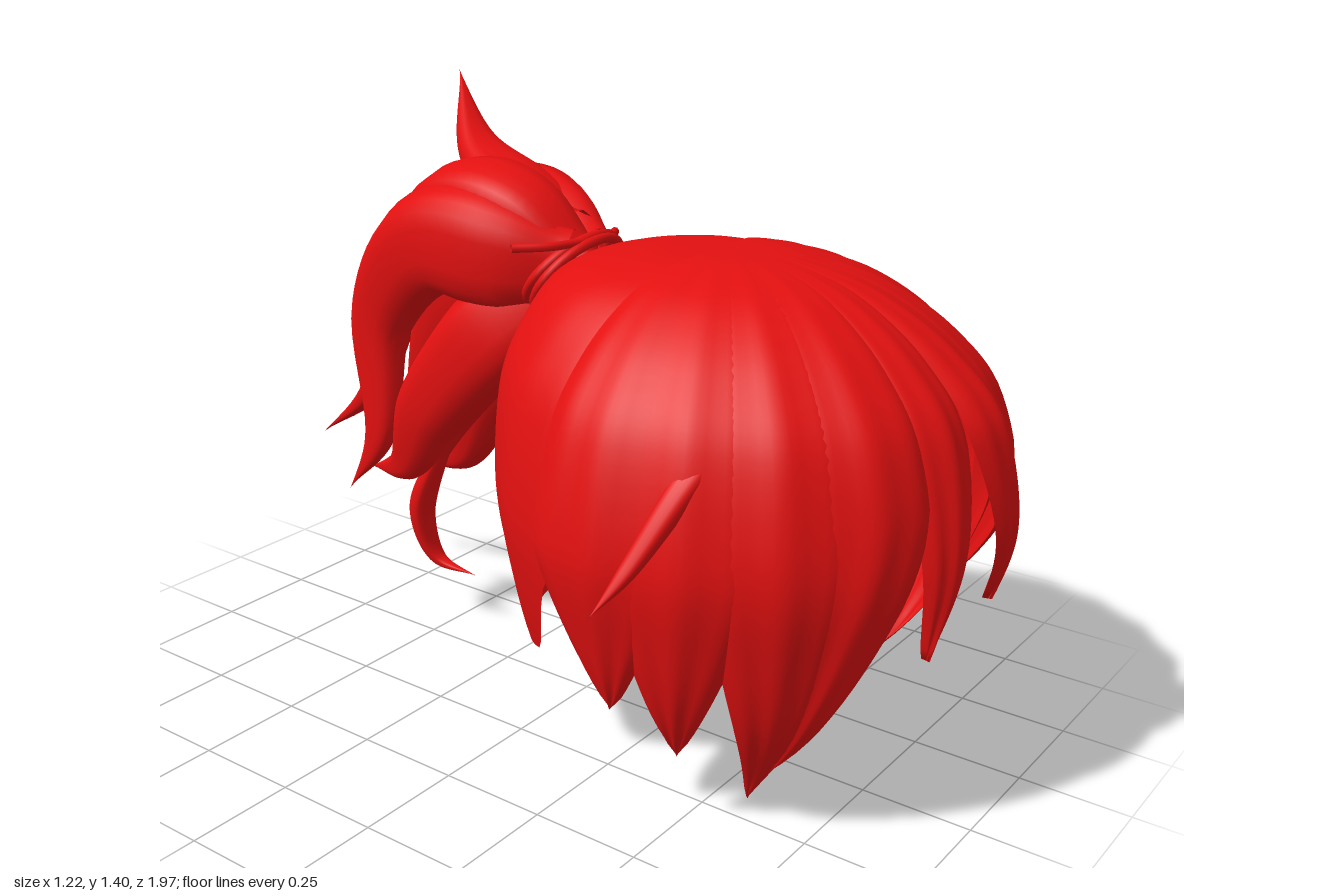
import * as THREE from 'three';
import { mergeVertices } from 'three/addons/utils/BufferGeometryUtils.js';

const red = new THREE.MeshStandardMaterial({ color: 0xe31010, side: THREE.DoubleSide });
red.name = 'hairRed';
const V = (x, y, z) => new THREE.Vector3(x, y, z);
const rad = THREE.MathUtils.degToRad;

// Smooth sheet from a rule f(u, v) -> Vector3, with u to the right and v downward
function sheet(name, nu, nv, f) {
  const pos = [], idx = [];
  for (let j = 0; j <= nv; j++)
    for (let i = 0; i <= nu; i++) pos.push(...f(i / nu, j / nv).toArray());
  for (let j = 0; j < nv; j++)
    for (let i = 0; i < nu; i++) {
      const a = j * (nu + 1) + i, b = a + nu + 1;
      idx.push(a, b, a + 1, a + 1, b, b + 1);
    }
  let g = new THREE.BufferGeometry();
  g.setAttribute('position', new THREE.Float32BufferAttribute(pos, 3));
  g.setIndex(idx);
  g = mergeVertices(g, 1e-5);
  g.computeVertexNormals();
  const m = new THREE.Mesh(g, red);
  m.name = name;
  return m;
}

// Head profile: x = fringe radius, y = height, z = back-of-head radius
const profile = new THREE.CatmullRomCurve3([
  V(0, 1.125, 0), V(0.28, 1.115, 0.45), V(0.54, 1.065, 0.76), V(0.76, 0.97, 0.9), V(0.91, 0.85, 0.98),
  V(1, 0.62, 0.99), V(0.97, 0.45, 0.93), V(0.87, 0.25, 0.82), V(0.56, 0, 0.6),
]);

// Profile parameter at a given height
function paramAt(y) {
  let a = 0, b = 1;
  for (let i = 0; i < 30; i++) {
    const m = (a + b) / 2;
    if (profile.getPoint(m).y > y) a = m; else b = m;
  }
  return b;
}

// Fringe lock: a wedge from the crown that tapers below its arch to a point
function fringeLock(centre, tipAngle, tipY, lift = 1) {
  const end = paramAt(tipY);
  const half = Math.min(15.5, 9 + Math.abs(centre) / 5);
  const arch = Math.max(0.6, 0.88 - 0.0045 * Math.abs(centre));
  return sheet('fringeLock', 16, 48, (u, v) => {
    const p = profile.getPoint(v * end);
    const k = THREE.MathUtils.clamp((arch - p.y) / (arch - tipY), 0, 1);
    const side = u * 2 - 1;
    const width = half * Math.pow(1 - k, 0.75);
    const phi = rad(centre + (tipAngle - centre) * Math.pow(k, 1.2) + side * width);
    const bulge = 0.06 * (1 - side * side) * (1 - 0.6 * k) + 0.006 * Math.cos(side * 9);
    const r = p.x * (0.97 + bulge) * THREE.MathUtils.lerp(1, lift, v * (1 - k));
    return V(0.05 + 0.552 * r * Math.sin(phi), p.y + 0.004 * (1 - k), 0.33 + 0.64 * r * Math.cos(phi));
  });
}

// Pointed strand along a curve; the cross-section is an oval with soft grooves
function strand(name, points, width, thick) {
  const curve = new THREE.CatmullRomCurve3(points);
  return sheet(name, 20, 40, (u, v) => {
    const c = curve.getPoint(v), t = curve.getTangent(v);
    const s = V(1, 0, 0).addScaledVector(t, -t.x).normalize();
    const n = s.clone().cross(t);
    const grow = 0.6 + 0.4 * THREE.MathUtils.smoothstep(v, 0, 0.3);
    const fade = Math.pow(Math.max(0, 1 - Math.pow(v, 2.2)), 1.3);
    const a = (u % 1) * Math.PI * 2;
    const r = grow * fade * (1 + 0.05 * Math.cos(5 * a));
    return c.addScaledVector(s, Math.cos(a) * width * r).addScaledVector(n, Math.sin(a) * thick * r);
  });
}

// Upper ponytail strand: leaves the tie, arches over at height top, then falls to its tip
function archedStrand(name, x, top, tip, width, thick) {
  const fall = V(x + 0.02, top - 0.22, -0.6);
  const sweep = fall.clone().lerp(tip, 0.55).add(V(0, -0.05, 0.05));
  const points = [V(0.03 + x * 0.3, 1.03, -0.06), V(x * 0.75, top - 0.02, -0.2), V(x, top - 0.02, -0.42), fall, sweep, tip];
  return strand(name, points, width, thick);
}

// Lower ponytail strand: falls straight from the tie and flicks back at its tip
function fallingStrand(name, x, tip, width, thick) {
  const sweep = V(x, 0.6, -0.47).lerp(tip, 0.55).add(V(0, -0.04, 0.03));
  return strand(name, [V(0.04 + x * 0.2, 1, -0.08), V(x * 0.85, 0.86, -0.25), V(x, 0.63, -0.46), sweep, tip], width, thick);
}

function tube(name, points, closed) {
  const curve = new THREE.CatmullRomCurve3(points, closed);
  const m = new THREE.Mesh(new THREE.TubeGeometry(curve, 24, 0.01, 8, closed), red);
  m.name = name;
  return m;
}

export function createModel() {
  const model = new THREE.Group();
  model.name = 'hair';

  // Back of the head, its lower edge rising over the ears
  model.add(sheet('backCap', 64, 40, (u, v) => {
    const phi = rad(82 + 196 * u);
    const back = Math.max(0, -Math.cos(phi));
    const low = 0.27 + 0.06 * (1 - back) + 0.22 * (1 - THREE.MathUtils.smoothstep(back, 0.15, 0.45));
    const p = profile.getPoint(v * paramAt(low));
    const r = THREE.MathUtils.lerp(p.x, p.z, back) * (1 + 0.006 * Math.sin(phi * 17) * v);
    return V(0.05 + 0.51 * r * Math.sin(phi), p.y - 0.006, 0.33 + 0.485 * r * Math.cos(phi));
  }));

  // Fringe, from the middle out to each temple
  const fringe = new THREE.Group();
  fringe.name = 'fringe';
  fringe.add(
    fringeLock(-11, -15, 0.4, 0.97), fringeLock(8, 16, 0.43, 1.04),
    fringeLock(-32, -46, 0.12), fringeLock(30, 52, 0.3),
    fringeLock(-50, -48, 0), fringeLock(50, 58, 0.13),
    fringeLock(-68, -70, 0.16), fringeLock(68, 74, 0.05),
    fringeLock(-84, -84, 0.27), fringeLock(84, 86, 0.2),
    strand('looseWisp', [V(-0.3, 0.92, 0.6), V(-0.43, 0.8, 0.56), V(-0.54, 0.64, 0.5), V(-0.6, 0.56, 0.46)], 0.025, 0.035),
  );
  model.add(fringe);

  // Ponytail
  const tail = new THREE.Group();
  tail.name = 'ponytail';
  tail.add(
    archedStrand('tailTop', 0.04, 1.15, V(0.11, 0.41, -0.99), 0.12, 0.11),
    archedStrand('tailLeft', 0.21, 1.09, V(0.48, 0.63, -0.85), 0.1, 0.14),
    archedStrand('tailRight', -0.06, 1.07, V(-0.07, 0.37, -0.71), 0.09, 0.15),
    fallingStrand('tailLowerLeft', 0.21, V(0.34, 0.28, -0.81), 0.095, 0.13),
    fallingStrand('tailLowerRight', -0.03, V(0.02, 0.4, -0.72), 0.085, 0.13),
    strand('tailCore', [V(0.06, 1.03, -0.06), V(0.09, 0.98, -0.3), V(0.1, 0.82, -0.5), V(0.1, 0.52, -0.68)], 0.17, 0.2),
    strand('tailUnder', [V(0.06, 0.97, -0.1), V(0.08, 0.8, -0.27), V(0.06, 0.52, -0.49), V(0.06, 0.33, -0.57)], 0.075, 0.06),
    strand('tailUnderTip', [V(0.06, 0.52, -0.49), V(0.06, 0.3, -0.58), V(0.08, 0.165, -0.55), V(0.09, 0.14, -0.43)], 0.045, 0.03),
    strand('tailSpike', [V(0.06, 1.06, -0.08), V(0.13, 1.15, -0.28), V(0.2, 1.24, -0.48), V(0.29, 1.4, -0.62)], 0.12, 0.075),
  );
  model.add(tail);

  // Hair tie: two tilted rings with a small loop and a loose end
  const tie = new THREE.Group();
  tie.name = 'hairTie';
  for (const k of [0, 1]) {
    const ring = new THREE.Mesh(new THREE.TorusGeometry(0.12, 0.012, 10, 40), red);
    ring.name = 'tieRing';
    ring.scale.set(1.12, 0.9, 1);
    ring.position.set(0.05, 1.01 + k * 0.012, -0.065 - k * 0.018);
    ring.rotation.x = 0.6 + k * 0.08;
    tie.add(ring);
  }
  tie.add(
    tube('tieLoop', [V(0.14, 1.08, -0.04), V(0.2, 1.08, -0.07), V(0.22, 1.03, -0.11), V(0.19, 1.02, -0.09)], true),
    tube('tieEnd', [V(0.03, 1.1, -0.01), V(-0.07, 1.1, -0.04), V(-0.14, 1.1, -0.1)], false),
  );
  model.add(tie);

  return model;
}
